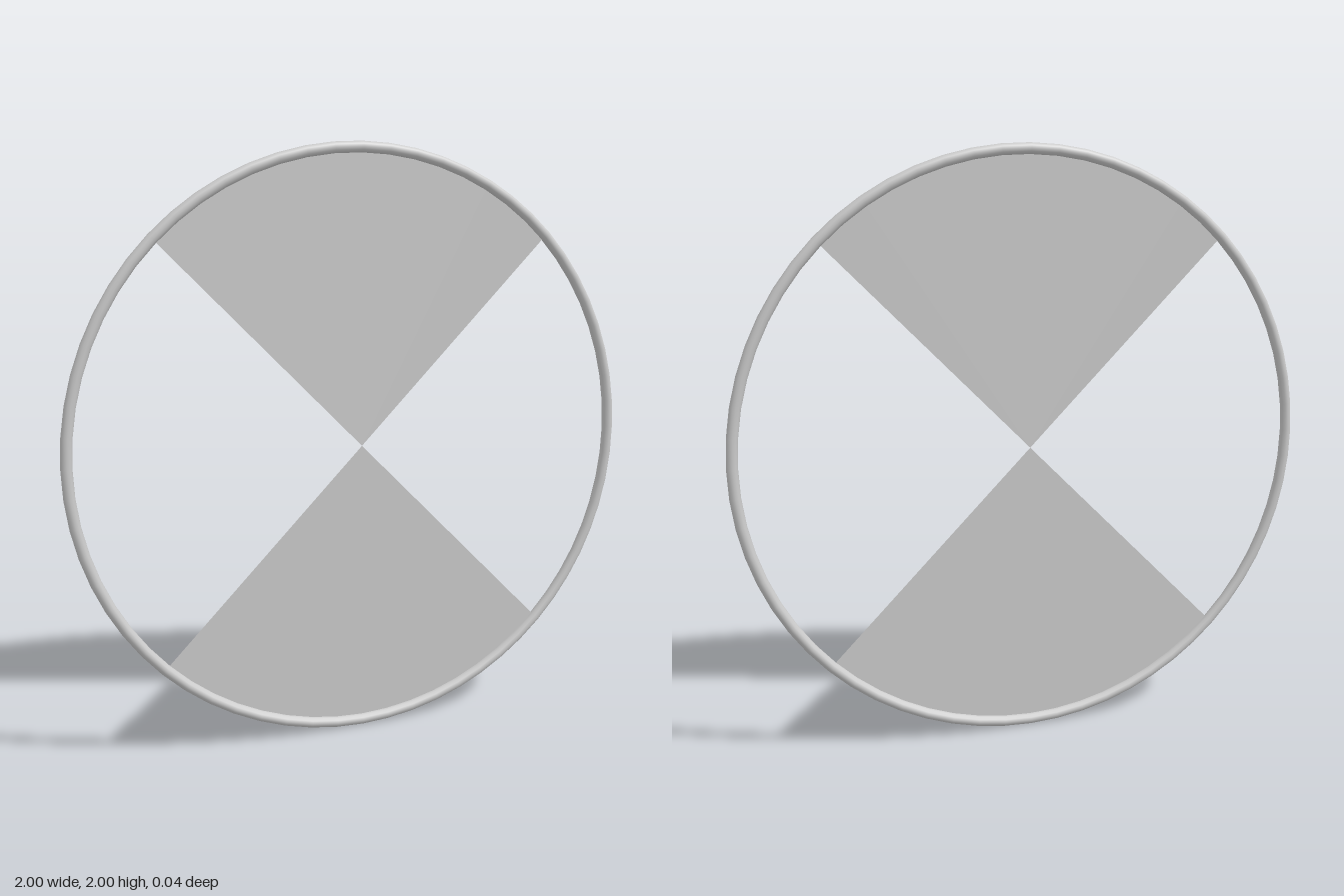
import * as THREE from 'three';

export function createModel() {
  const model = new THREE.Group();
  const tube = 0.0185;
  const radius = 1 - tube;
  const material = new THREE.MeshStandardMaterial({ color: 0xcccccc });
  const sheet = new THREE.MeshStandardMaterial({ color: 0xcccccc, side: THREE.DoubleSide });

  // Round outer hoop
  const hoop = new THREE.Mesh(new THREE.TorusGeometry(radius, tube, 12, 64), material);
  hoop.name = 'hoop';
  hoop.position.y = 1;
  model.add(hoop);

  // Two thin quarter-circle panels meeting at the centre
  const panels = [['upperPanel', Math.PI / 4], ['lowerPanel', Math.PI * 5 / 4]];
  for (const [name, start] of panels) {
    const panel = new THREE.Mesh(new THREE.CircleGeometry(radius, 16, start, Math.PI / 2), sheet);
    panel.name = name;
    panel.position.y = 1;
    model.add(panel);
  }
  return model;
}
